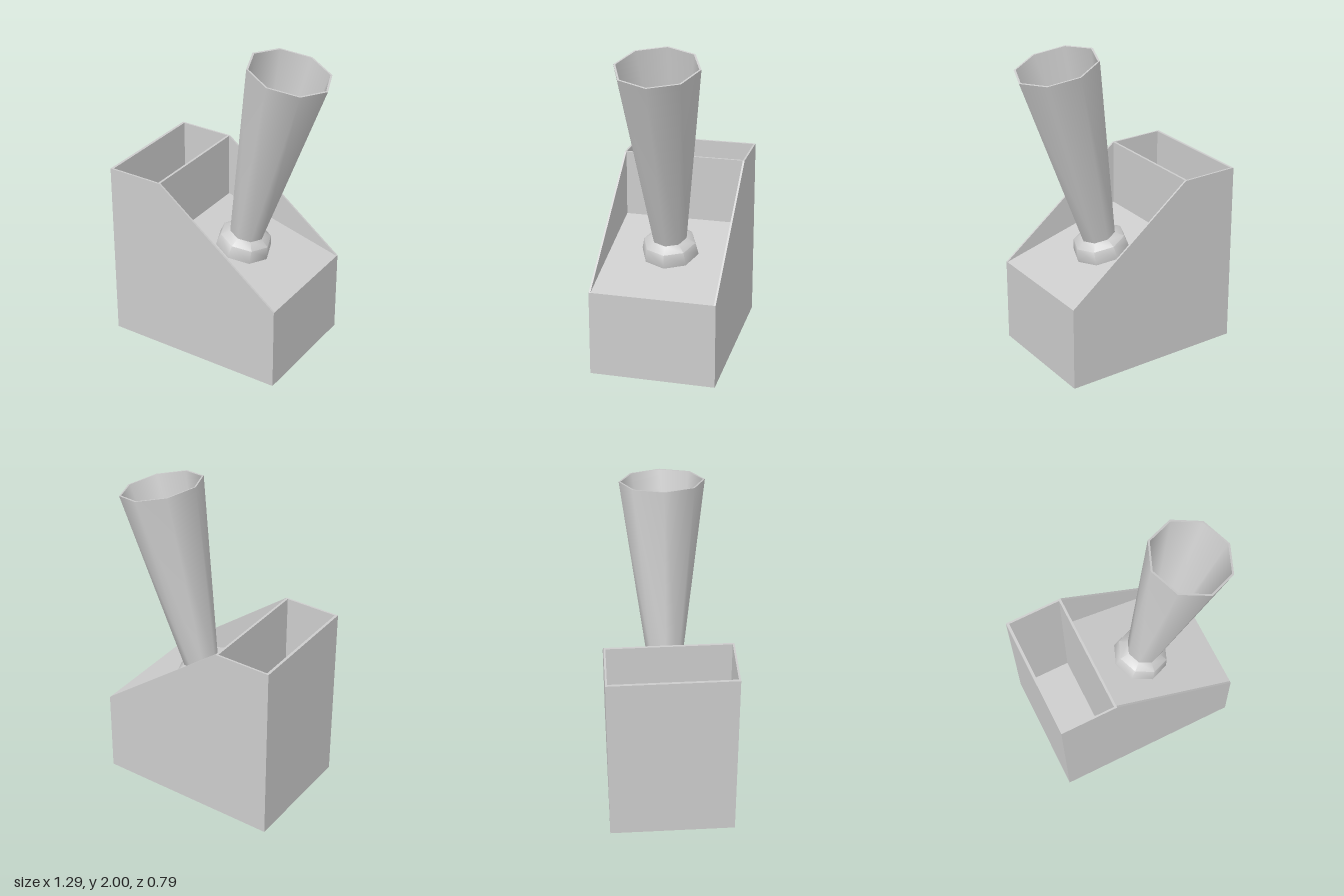
import * as THREE from 'three';
import { toCreasedNormals } from 'three/addons/utils/BufferGeometryUtils.js';

const material = new THREE.MeshStandardMaterial({ color: 0xcccccc });
const HALF_DEPTH = 0.395, WALL = 0.012;

function addMesh(parent, name, geometry) {
  const mesh = new THREE.Mesh(geometry, material);
  mesh.name = name;
  parent.add(mesh);
  return mesh;
}

// Side outline (x, y) extruded along z, starting at zStart
function slab(points, zStart, depth) {
  const shape = new THREE.Shape(points.map(([x, y]) => new THREE.Vector2(x, y)));
  return new THREE.ExtrudeGeometry(shape, { depth, bevelEnabled: false }).translate(0, 0, zStart);
}

// Eight-sided turned part, smooth around and sharp at rims
function turned(points) {
  const profile = points.map(([r, y]) => new THREE.Vector2(r, y));
  return toCreasedNormals(new THREE.LatheGeometry(profile, 8), 0.9);
}

export function createModel() {
  const model = new THREE.Group();
  model.name = 'cupHolderStand';

  // Thin side panels with the sloping front edge
  const outline = [[-0.65, 0], [0.547, 0], [0.547, 0.545], [-0.278, 1.185], [-0.65, 1.185]];
  addMesh(model, 'leftPanel', slab(outline, HALF_DEPTH - WALL, WALL));
  addMesh(model, 'rightPanel', slab(outline, -HALF_DEPTH, WALL));

  // Core: tilted deck, divider and deep open bin
  const core = [
    [-0.65, 0], [0.547, 0], [0.547, 0.545], [-0.278, 0.76], [-0.278, 1.185],
    [-0.293, 1.185], [-0.293, 0.02], [-0.633, 0.02], [-0.633, 1.185], [-0.65, 1.185],
  ];
  addMesh(model, 'deckAndBin', slab(core, -HALF_DEPTH + WALL, 2 * (HALF_DEPTH - WALL)));

  // Flared hollow horn standing square on the tilted deck
  const horn = new THREE.Group();
  horn.name = 'horn';
  horn.position.set(0.078, 0.667, 0);
  horn.rotation.z = -Math.atan2(0.125, 0.51);
  addMesh(horn, 'collar', turned([[0.18, -0.005], [0.18, 0.015], [0.165, 0.085], [0.11, 0.118]]));
  addMesh(horn, 'flaredTube', turned([
    [0.11, 0.11], [0.2625, 1.308], [0.25, 1.308], [0.098, 0.11], [0, 0.11],
  ]));
  model.add(horn);

  return model;
}
